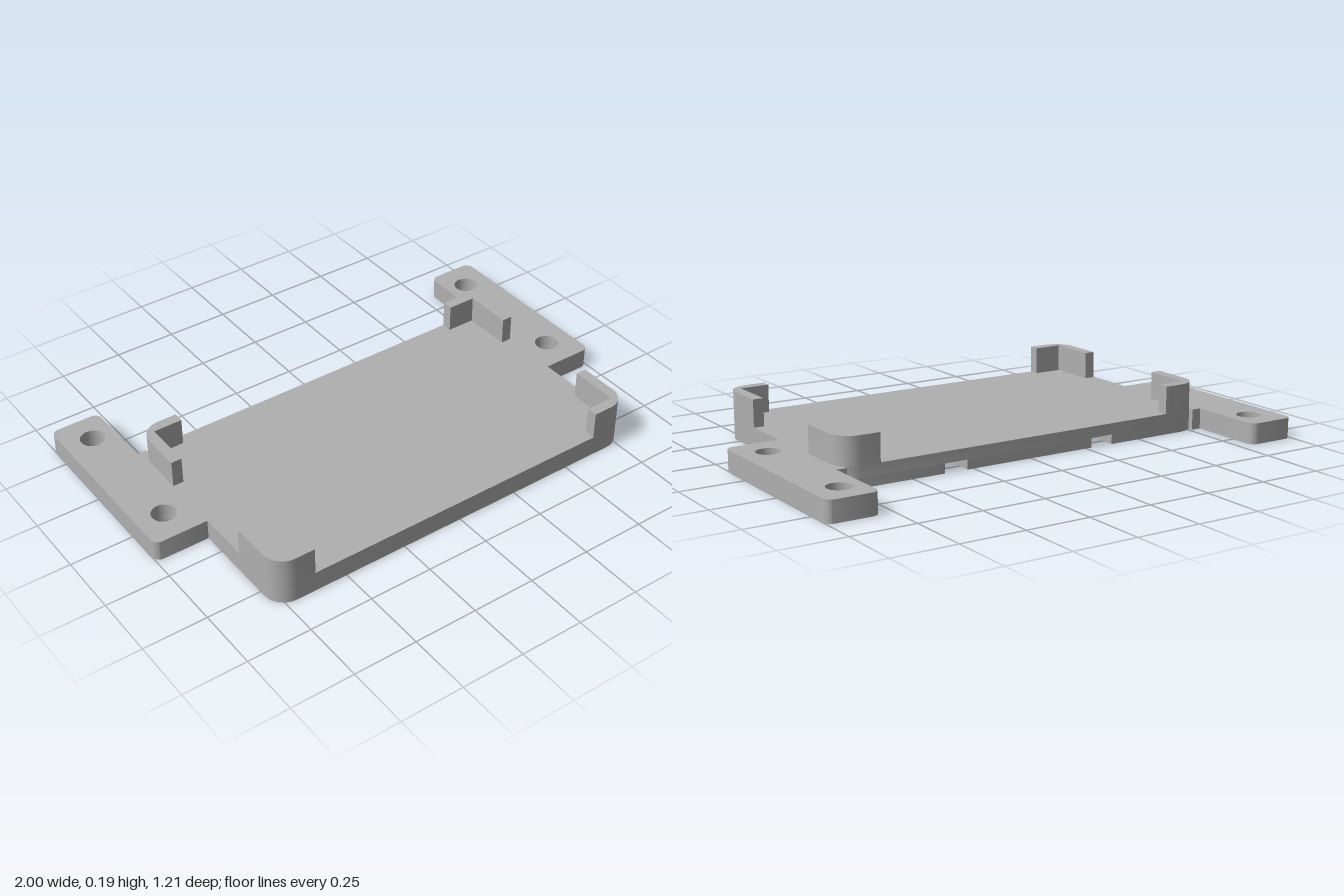
import * as THREE from 'three';
import { toCreasedNormals } from 'three/addons/utils/BufferGeometryUtils.js';

const grey = new THREE.MeshStandardMaterial({ color: 0xb0b0b0 });
grey.name = 'grey';

// Closed outline from [x, -z, radius] corners, each rounded where a radius is given
function roundedShape(corners) {
  const shape = new THREE.Shape();
  const k = 0.5523;
  corners.forEach(([x, y, r = 0], i) => {
    const p = new THREE.Vector2(x, y);
    const toward = (j, d) => {
      const c = corners[(j + corners.length) % corners.length];
      return new THREE.Vector2(c[0], c[1]).sub(p).setLength(d).add(p);
    };
    const a = r ? toward(i - 1, r) : p;
    if (i === 0) shape.moveTo(a.x, a.y);
    else shape.lineTo(a.x, a.y);
    if (r) {
      const b = toward(i + 1, r);
      const c1 = a.clone().lerp(p, k), c2 = b.clone().lerp(p, k);
      shape.bezierCurveTo(c1.x, c1.y, c2.x, c2.y, b.x, b.y);
    }
  });
  shape.closePath();
  return shape;
}

// Upright slab made from a plan outline, between two heights
function slab(name, shape, bottom, top) {
  let geo = new THREE.ExtrudeGeometry(shape, { depth: top - bottom, bevelEnabled: false, curveSegments: 10 });
  geo.rotateX(-Math.PI / 2);
  geo.translate(0, bottom, 0);
  geo = toCreasedNormals(geo, 0.6);
  const mesh = new THREE.Mesh(geo, grey);
  mesh.name = name;
  return mesh;
}

// Tray floor with the two mounting ears and their screw holes
function baseShape(withSlots) {
  const half = [
    [0.787, -0.605, 0.08], [0.787, -0.163],
    [1, -0.163, 0.03], [1, 0.607, 0.03], [0.802, 0.607, 0.03],
    [0.802, 0.305], [0.763, 0.305], [0.763, 0.284], [0.738, 0.299], [0.707, 0.305],
  ];
  if (withSlots) half.push([0.37, 0.305], [0.37, 0.06], [0.275, 0.06], [0.275, 0.305]);
  const mirrored = half.map(([x, y, r]) => [-x, y, r]).reverse();
  const shape = roundedShape([...half, ...mirrored]);
  for (const x of [-0.89, 0.89]) {
    for (const y of [0.485, -0.037]) {
      const hole = new THREE.Path();
      hole.absarc(x, y, 0.047, 0, Math.PI * 2, true);
      shape.holes.push(hole);
    }
  }
  return shape;
}

export function createModel() {
  const model = new THREE.Group();
  model.name = 'mountingTray';

  // Lower layer carries the strap slots, upper layer closes them
  model.add(slab('slottedBaseLayer', baseShape(true), 0, 0.037));
  model.add(slab('topBaseLayer', baseShape(false), 0.037, 0.081));

  // L-shaped retaining walls on the four corners
  const corner = [
    [0.787, -0.37], [0.745, -0.37], [0.745, -0.563],
    [0.63, -0.563], [0.63, -0.605], [0.787, -0.605, 0.08],
  ];
  for (const sx of [-1, 1]) {
    for (const back of [false, true]) {
      const pts = corner.map(([x, y, r]) => [sx * x, back ? -0.3 - y : y, r]);
      const name = (back ? 'back' : 'front') + (sx > 0 ? 'Left' : 'Right') + 'CornerWall';
      model.add(slab(name, roundedShape(pts), 0.081, 0.189));
    }
  }
  return model;
}
